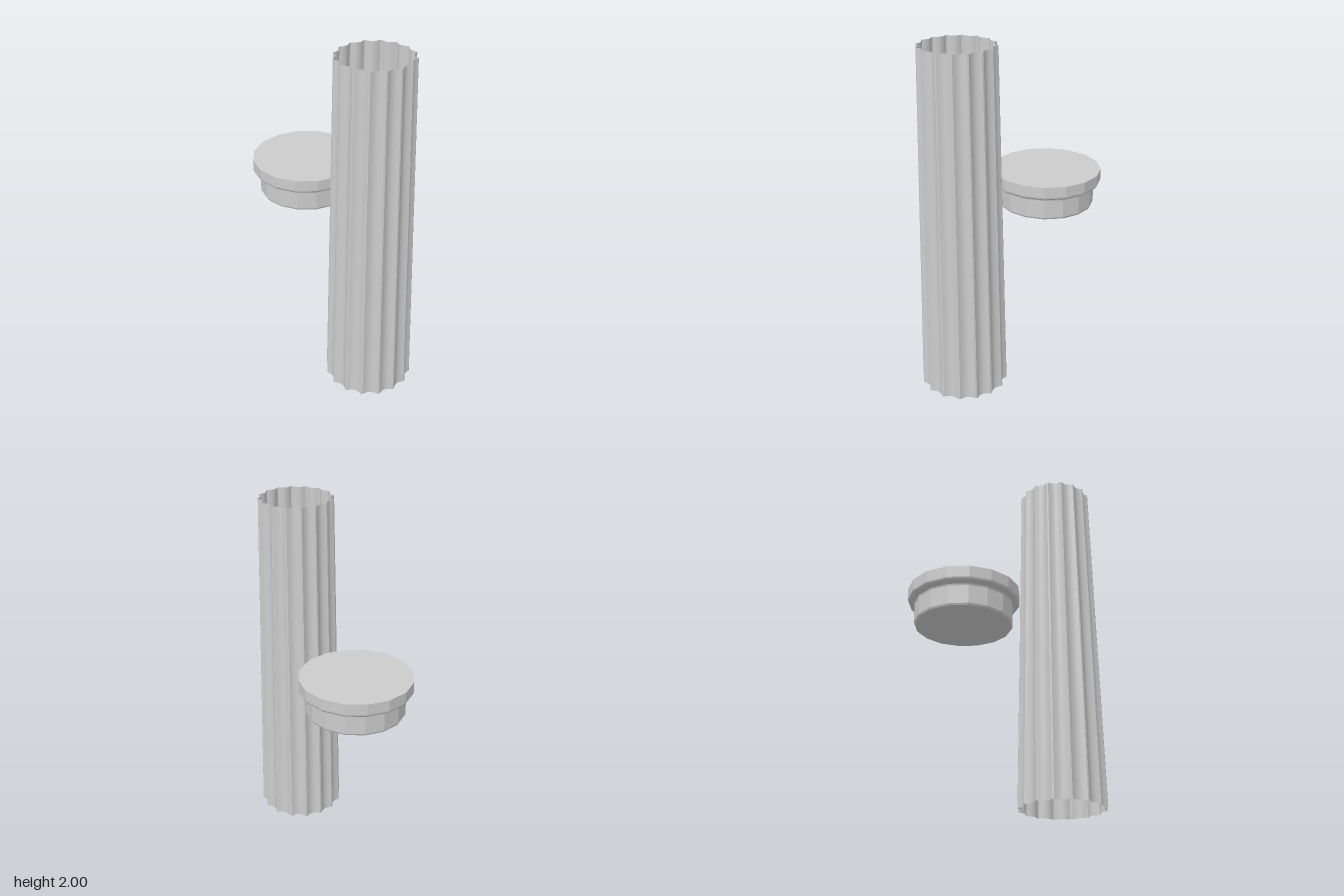
import * as THREE from 'three';
import { mergeGeometries } from 'three/addons/utils/BufferGeometryUtils.js';

const HEIGHT = 2, R_BOTTOM = 0.25, R_TOP = 0.212;
const FLUTES = 16, STEP = (Math.PI * 2) / FLUTES;

// Tapered vertical strip covering an angle range, hollowed by a fraction of the radius
function shaftStrip(centre, halfAngle, hollow, segments) {
  const g = new THREE.PlaneGeometry(2, 1, segments, 8);
  const p = g.attributes.position;
  for (let i = 0; i < p.count; i++) {
    const t = p.getX(i), v = p.getY(i) + 0.5;
    const r = THREE.MathUtils.lerp(R_BOTTOM, R_TOP, v) * (1 - hollow * (1 - t * t));
    const a = centre + t * halfAngle;
    p.setXYZ(i, Math.sin(a) * r, v * HEIGHT, Math.cos(a) * r);
  }
  g.computeVertexNormals();
  return g;
}

export function createModel() {
  const group = new THREE.Group();

  // Open fluted column shaft: concave flutes between narrow ridges
  const ridge = 0.02;
  const strips = [];
  for (let i = 0; i < FLUTES; i++) {
    strips.push(shaftStrip(i * STEP, ridge, 0, 1));
    strips.push(shaftStrip((i + 0.5) * STEP, STEP / 2 - ridge, 0.085, 10));
  }
  const shaft = new THREE.Mesh(
    mergeGeometries(strips),
    new THREE.MeshStandardMaterial({ color: 0xcccccc, side: THREE.DoubleSide })
  );
  shaft.name = 'flutedShaft';
  shaft.position.x = 0.35;
  group.add(shaft);

  // Sixteen-sided capital: rounded foot, neck, cove and flat-topped lip
  const profile = [
    [0, 0.953], [0.264, 0.953], [0.273, 0.957], [0.278, 0.967],
    [0.278, 1.073], [0.281, 1.082], [0.288, 1.086], [0.297, 1.087],
    [0.309, 1.092], [0.316, 1.1], [0.318, 1.108], [0.318, 1.17], [0, 1.17],
  ].map(([r, y]) => new THREE.Vector2(r, y));
  const capital = new THREE.Mesh(
    new THREE.LatheGeometry(profile, 16),
    new THREE.MeshStandardMaterial({ color: 0xcccccc, flatShading: true })
  );
  capital.name = 'capital';
  capital.position.x = -0.285;
  group.add(capital);

  return group;
}
